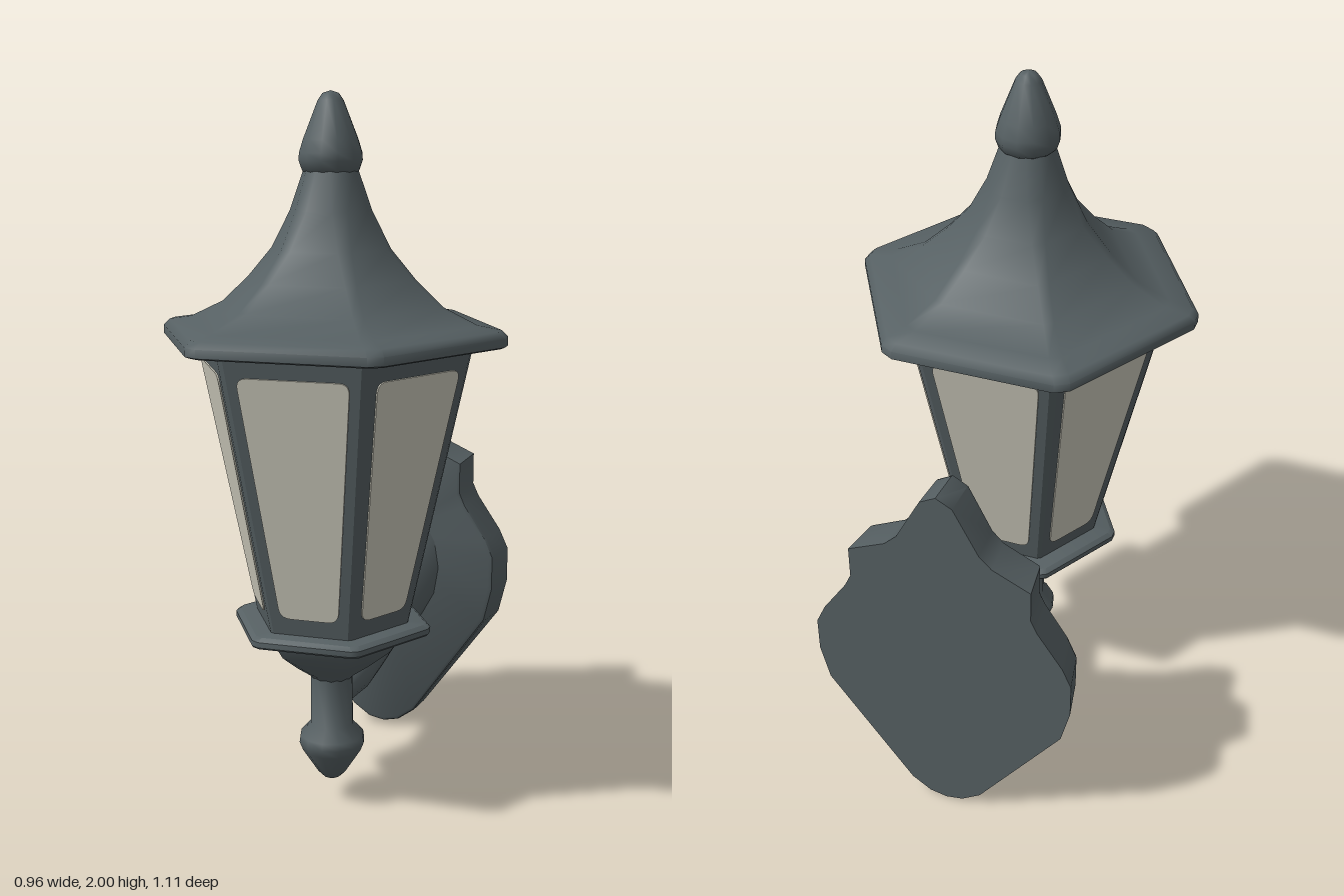
import * as THREE from 'three';
import { toCreasedNormals } from 'three/addons/utils/BufferGeometryUtils.js';

const AXIS_Z = 0.13; // lantern axis, in front of the wall plate

// Skin a list of equal-length rings and close both ends with fans.
function loft(rings, crease) {
  const n = rings[0].length, pos = [], index = [];
  rings.forEach(r => r.forEach(p => pos.push(...p)));
  for (let i = 0; i < rings.length - 1; i++) {
    for (let j = 0; j < n; j++) {
      const a = i * n + j, b = i * n + (j + 1) % n;
      index.push(a, b, b + n, a, b + n, a + n);
    }
  }
  [0, rings.length - 1].forEach((r, end) => {
    const centre = pos.length / 3;
    pos.push(...[0, 1, 2].map(k => rings[r].reduce((s, p) => s + p[k], 0) / n));
    for (let j = 0; j < n; j++) {
      const a = r * n + j, b = r * n + (j + 1) % n;
      index.push(centre, end ? a : b, end ? b : a);
    }
  });
  const g = new THREE.BufferGeometry();
  g.setAttribute('position', new THREE.Float32BufferAttribute(pos, 3));
  g.setIndex(index);
  return toCreasedNormals(g, crease);
}

// Hexagon with cut corners; cut is a fraction of the side.
function hexRing([radius, y, cut]) {
  const ring = [];
  const corner = k => [radius * Math.cos(k * Math.PI / 3), -radius * Math.sin(k * Math.PI / 3)];
  for (let k = 0; k < 6; k++) {
    const c = corner(k);
    for (const o of [corner(k - 1), corner(k + 1)]) {
      ring.push([c[0] + (o[0] - c[0]) * cut, y, c[1] + (o[1] - c[1]) * cut]);
    }
  }
  return ring;
}
const hexLoft = (profile, crease) => loft(profile.map(hexRing), crease);

function turned(points) {
  const g = new THREE.LatheGeometry(points.map(p => new THREE.Vector2(...p)), 12);
  return toCreasedNormals(g, 0.9);
}

// Polygon with rounded corners
function roundedShape(corners, r) {
  const s = new THREE.Shape(), n = corners.length;
  const v = corners.map(c => new THREE.Vector2(...c));
  v.forEach((c, i) => {
    const toward = o => c.clone().add(o.clone().sub(c).setLength(r));
    const a = toward(v[(i + n - 1) % n]), b = toward(v[(i + 1) % n]);
    if (i) s.lineTo(a.x, a.y); else s.moveTo(a.x, a.y);
    s.quadraticCurveTo(c.x, c.y, b.x, b.y);
  });
  s.closePath();
  return s;
}

export function createModel() {
  const metal = new THREE.MeshStandardMaterial({ color: 0x566063 });
  metal.name = 'dark grey metal';
  const glass = new THREE.MeshStandardMaterial({ color: 0xcccabc });
  glass.name = 'frosted glass';

  const model = new THREE.Group();
  model.name = 'wallLantern';
  const lantern = new THREE.Group();
  lantern.name = 'lantern';
  lantern.position.z = AXIS_Z;
  model.add(lantern);

  const add = (parent, name, geometry, material = metal) => {
    const m = new THREE.Mesh(geometry, material);
    m.name = name;
    parent.add(m);
    return m;
  };

  // Flared roof, hexagonal at the eaves and nearly round at the neck
  add(lantern, 'roof', hexLoft([
    [0.48, 1.34, 0.05], [0.493, 1.345, 0.05], [0.493, 1.368, 0.05], [0.475, 1.385, 0.05],
    [0.41, 1.395, 0.05], [0.315, 1.44, 0.05], [0.24, 1.51, 0.07], [0.172, 1.59, 0.12],
    [0.12, 1.69, 0.2], [0.08, 1.8, 0.268],
  ], 0.9));
  add(lantern, 'roofFinial', turned([
    [0.06, 1.78], [0.078, 1.795], [0.087, 1.82], [0.086, 1.84], [0.075, 1.875],
    [0.035, 1.975], [0.022, 1.993], [0, 2],
  ]));

  // Tapered frame
  const low = { y: 0.55, r: 0.222 }, high = { y: 1.35, r: 0.398 };
  add(lantern, 'frame', hexLoft([[low.r, low.y, 0.03], [high.r, high.y, 0.03]], 0.2));

  // Six panes lying on the tilted faces
  const apothem = r => r * Math.cos(Math.PI / 6);
  const tilt = Math.atan((apothem(high.r) - apothem(low.r)) / (high.y - low.y));
  const along = y => (y - low.y) / Math.cos(tilt);
  const paneGeometry = new THREE.ExtrudeGeometry(roundedShape([
    [-0.082, along(0.61)], [0.082, along(0.61)], [0.152, along(1.285)], [-0.152, along(1.285)],
  ], 0.03), { depth: 0.004, bevelEnabled: false, curveSegments: 5 });
  for (let k = 0; k < 6; k++) {
    const side = new THREE.Group();
    side.name = 'paneSide' + (k + 1);
    side.rotation.y = k * Math.PI / 3;
    const pane = add(side, 'pane', paneGeometry, glass);
    pane.position.set(0, low.y, apothem(low.r));
    pane.rotation.x = tilt;
    lantern.add(side);
  }

  // Lower rim, bowl, stem and drop
  add(lantern, 'lowerRim', hexLoft([
    [0.286, 0.53, 0.05], [0.29, 0.535, 0.05], [0.29, 0.55, 0.05], [0.275, 0.56, 0.05],
  ], 0.6));
  add(lantern, 'bowl', hexLoft([
    [0.06, 0.375, 0.268], [0.075, 0.39, 0.25], [0.125, 0.425, 0.15],
    [0.18, 0.47, 0.08], [0.2, 0.5, 0.06], [0.22, 0.54, 0.05],
  ], 0.9));
  add(lantern, 'stemAndDrop', turned([
    [0, 0.07], [0.025, 0.075], [0.04, 0.09], [0.085, 0.16], [0.095, 0.185],
    [0.092, 0.205], [0.062, 0.238], [0.06, 0.4],
  ]));

  // Curved arm: z, bottom, top, half width of each oval section
  const armSections = [
    [-0.435, 0.33, 0.78, 0.18], [-0.36, 0.298, 0.625, 0.125], [-0.3, 0.28, 0.54, 0.095],
    [-0.22, 0.26, 0.45, 0.075], [-0.1, 0.245, 0.375, 0.058], [0.02, 0.257, 0.353, 0.043],
    [0.065, 0.275, 0.345, 0.035], [0.08, 0.29, 0.33, 0.02],
  ];
  add(model, 'arm', loft(armSections.map(([z, bottom, top, w]) =>
    Array.from({ length: 16 }, (_, i) => {
      const a = i / 16 * Math.PI * 2;
      return [w * Math.cos(a), (top + bottom) / 2 + (top - bottom) / 2 * Math.sin(a), z];
    })), 0.9));

  // Shield-shaped wall plate: right half from bottom to top, then mirrored
  const half = [
    [0.05, 0.012], [0.105, 0.05], [0.347, 0.385], [0.372, 0.49], [0.372, 0.595],
    [0.345, 0.655], [0.275, 0.76], [0.257, 0.8], [0.257, 0.895], [0.15, 0.945], [0.115, 0.98],
    [0.045, 1.115],
  ];
  const outline = [[0, 0.002], ...half, [0, 1.14], ...half.map(([x, y]) => [-x, y]).reverse()];
  const plateRing = ([z, sx, sy]) =>
    outline.map(([x, y]) => [x * sx, 0.57 + (y - 0.57) * sy, z]);
  add(model, 'wallPlate', loft(
    [[-0.555, 1, 1], [-0.445, 0.945, 0.98], [-0.435, 0.93, 0.972], [-0.43, 0.9, 0.955]].map(plateRing), 0.6));

  return model;
}
